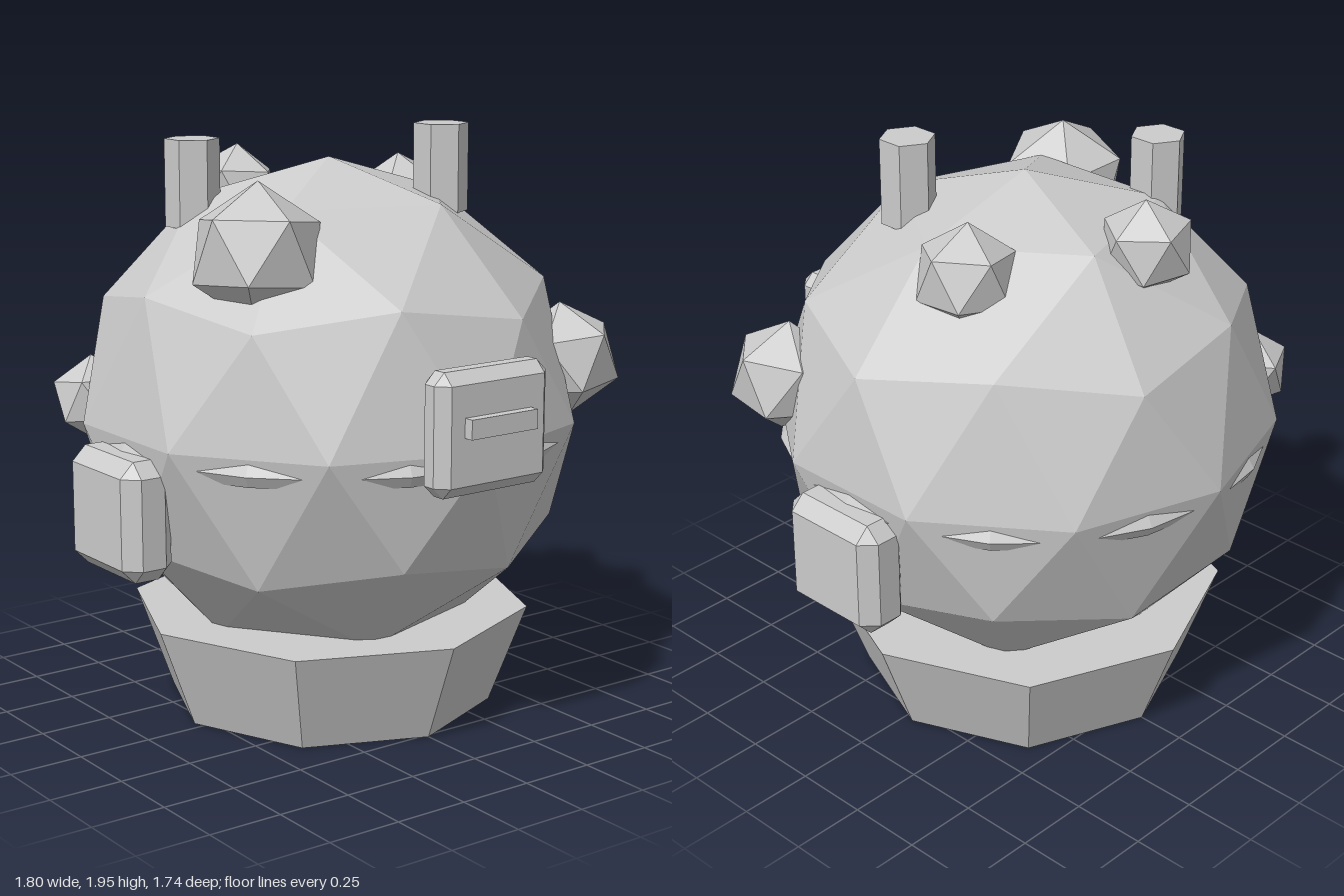
import * as THREE from 'three';
import { ConvexGeometry } from 'three/addons/geometries/ConvexGeometry.js';

const Z0 = -0.035; // shared centre line of head, collar and ears
const POLE_TILT = -Math.atan(2 / (1 + Math.sqrt(5))); // turns an icosahedron corner straight up

// Box with a single flat chamfer on every edge
function chamferBox(w, h, d, c) {
  const points = [];
  const [a, b, e] = [w / 2, h / 2, d / 2];
  for (const sx of [-1, 1]) for (const sy of [-1, 1]) for (const sz of [-1, 1]) {
    points.push(
      new THREE.Vector3(sx * a, sy * (b - c), sz * (e - c)),
      new THREE.Vector3(sx * (a - c), sy * b, sz * (e - c)),
      new THREE.Vector3(sx * (a - c), sy * (b - c), sz * e)
    );
  }
  return new ConvexGeometry(points);
}

// Icosahedron with one corner on +y and a neighbouring corner towards +x
function poleBall(radius, detail) {
  return new THREE.IcosahedronGeometry(radius, detail).rotateZ(POLE_TILT);
}

export function createModel() {
  const model = new THREE.Group();
  const material = new THREE.MeshStandardMaterial({ color: 0xcccccc, flatShading: true });

  const add = (name, geometry, x, y, z) => {
    const mesh = new THREE.Mesh(geometry, material);
    mesh.name = name;
    mesh.position.set(x, y, z);
    model.add(mesh);
    return mesh;
  };

  // Head and the flared eight-sided collar under it
  add('head', poleBall(0.835, 1), 0, 1.05, Z0);
  add('collar', new THREE.CylinderGeometry(0.675, 0.55, 0.335, 8), 0, 0.213, Z0);

  // Thin seam ring that just breaks through the head's facets
  add('seamRing', new THREE.TorusGeometry(0.77, 0.042, 6, 20).rotateX(Math.PI / 2), 0, 1, Z0);

  // Front plate with its slot bar
  add('frontPlate', chamferBox(0.44, 0.39, 0.12, 0.038), 0, 1.13, 0.777);
  add('slotBar', new THREE.BoxGeometry(0.26, 0.062, 0.08), 0, 1.155, 0.83);

  // Ear blocks
  for (const side of [1, -1]) {
    add(side > 0 ? 'leftEar' : 'rightEar', chamferBox(0.18, 0.39, 0.39, 0.048), side * 0.81, 0.815, Z0);
  }

  // Crystal bumps: centre, radius, direction of the top corner, direction of a neighbouring corner
  const bumps = [
    [[0.62, 1.22, 0.445], 0.19, [-0.02, 0.19, -0.01], [0.03, 0.03, 0.16]],
    [[-0.47, 1.64, 0.235], 0.222, [0.02, 0.21, -0.02], [0.19, 0.07, 0.07]],
    [[0.405, 1.695, -0.173], 0.17, [-0.02, 0.165, 0.01], [0.15, 0.05, 0]],
    [[-0.07, 1.738, -0.485], 0.157, [0.01, 0.155, 0], [0.15, 0.05, 0]],
    [[-0.66, 1.09, -0.45], 0.145, [0, 0.15, -0.02], [-0.1, 0.05, -0.06]],
  ];
  for (const [centre, radius, top, next] of bumps) {
    const up = new THREE.Vector3(...top).normalize();
    const across = new THREE.Vector3(...next);
    across.addScaledVector(up, -across.dot(up)).normalize();
    const basis = new THREE.Matrix4().makeBasis(across, up, new THREE.Vector3().crossVectors(across, up));
    add('crystalBump', poleBall(radius, 0), ...centre).quaternion.setFromRotationMatrix(basis);
  }

  // Hexagonal antenna stubs
  for (const [x, topY, z] of [[0.262, 2, 0.222], [-0.393, 1.95, -0.247]]) {
    add('antennaStub', new THREE.CylinderGeometry(0.09, 0.09, 0.285, 6), x, topY - 0.1425, z);
  }

  return model;
}
